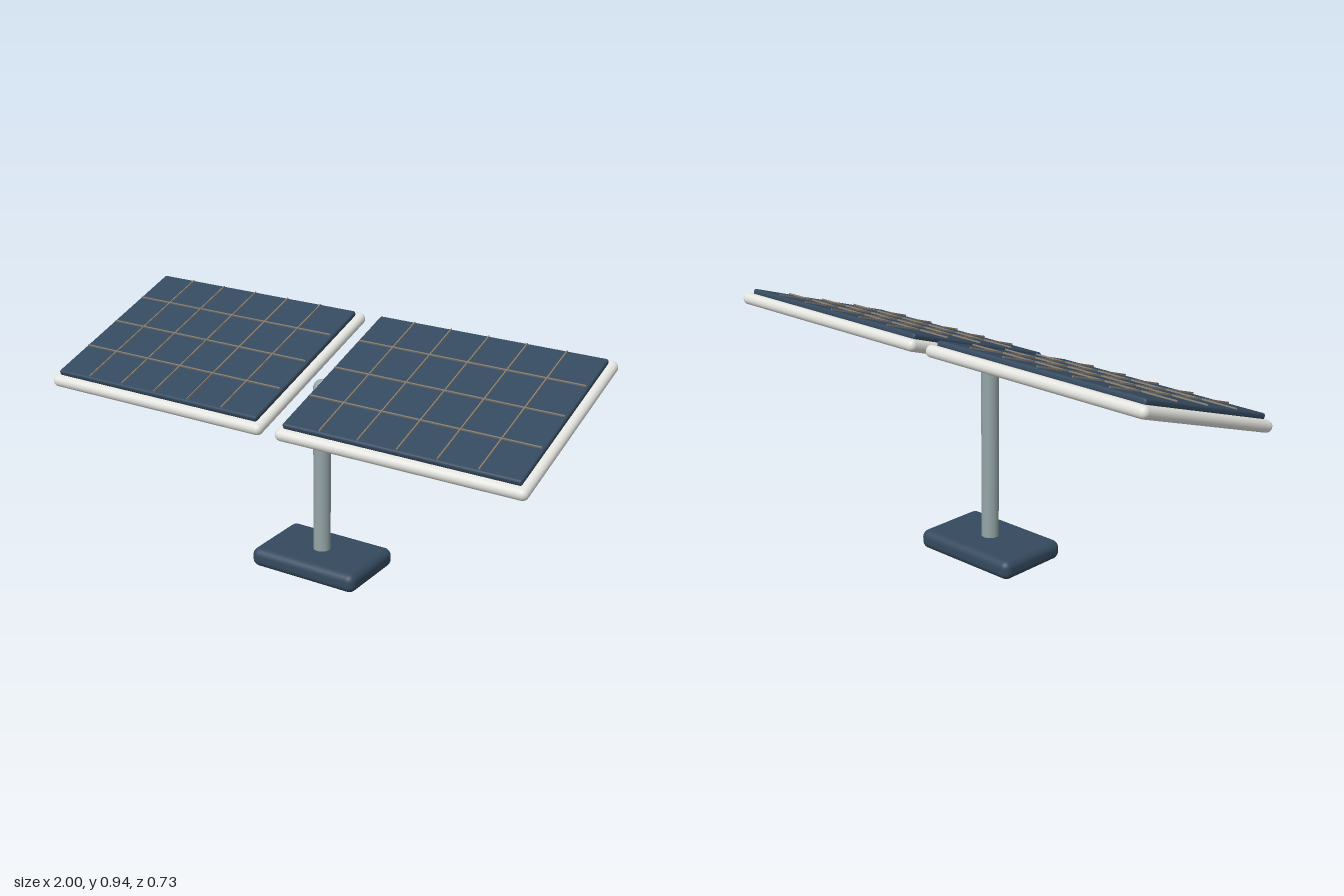
import * as THREE from 'three';
import { RoundedBoxGeometry } from 'three/addons/geometries/RoundedBoxGeometry.js';

const material = (name, color) => {
  const m = new THREE.MeshStandardMaterial({ color });
  m.name = name;
  return m;
};

export function createModel() {
  const blue = material('panelBlue', 0x34495e);
  const white = material('frameWhite', 0xe2e2de);
  const steel = material('poleGrey', 0x95a5a6);
  const tan = material('gridTan', 0x857c70);

  const model = new THREE.Group();
  model.name = 'solarPanelStand';

  const add = (parent, name, geometry, mat, x, y, z) => {
    const mesh = new THREE.Mesh(geometry, mat);
    mesh.name = name;
    mesh.position.set(x, y, z);
    parent.add(mesh);
    return mesh;
  };

  // Rounded foot and round-topped pole
  add(model, 'base', new RoundedBoxGeometry(0.46, 0.076, 0.305, 5, 0.031), blue, 0, 0.038, 0);
  add(model, 'pole', new THREE.CapsuleGeometry(0.033, 0.68, 8, 32), steel, 0, 0.39, 0);

  // Two tilted panels, one on each side of the pole
  const width = 0.917, depth = 0.705, columns = 6, rows = 4;
  for (const side of [-1, 1]) {
    const panel = new THREE.Group();
    panel.name = side > 0 ? 'leftPanel' : 'rightPanel';
    panel.position.set(side * 0.514, 0.783, 0);
    panel.rotation.x = THREE.MathUtils.degToRad(18);
    model.add(panel);

    add(panel, 'frame', new RoundedBoxGeometry(0.97, 0.045, 0.764, 5, 0.022), white, 0, 0, 0);
    add(panel, 'cellSheet', new RoundedBoxGeometry(width, 0.023, depth, 4, 0.009), blue, 0, 0.031, 0);

    // Grid lines between the cells
    for (let i = 1; i < columns; i++) {
      add(panel, 'columnLine', new THREE.BoxGeometry(0.005, 0.007, 0.69), tan,
        (i / columns - 0.5) * width, 0.045, 0);
    }
    for (let j = 1; j < rows; j++) {
      add(panel, 'rowLine', new THREE.BoxGeometry(0.9, 0.006, 0.005), tan,
        0, 0.045, (j / rows - 0.5) * depth);
    }
  }
  return model;
}
